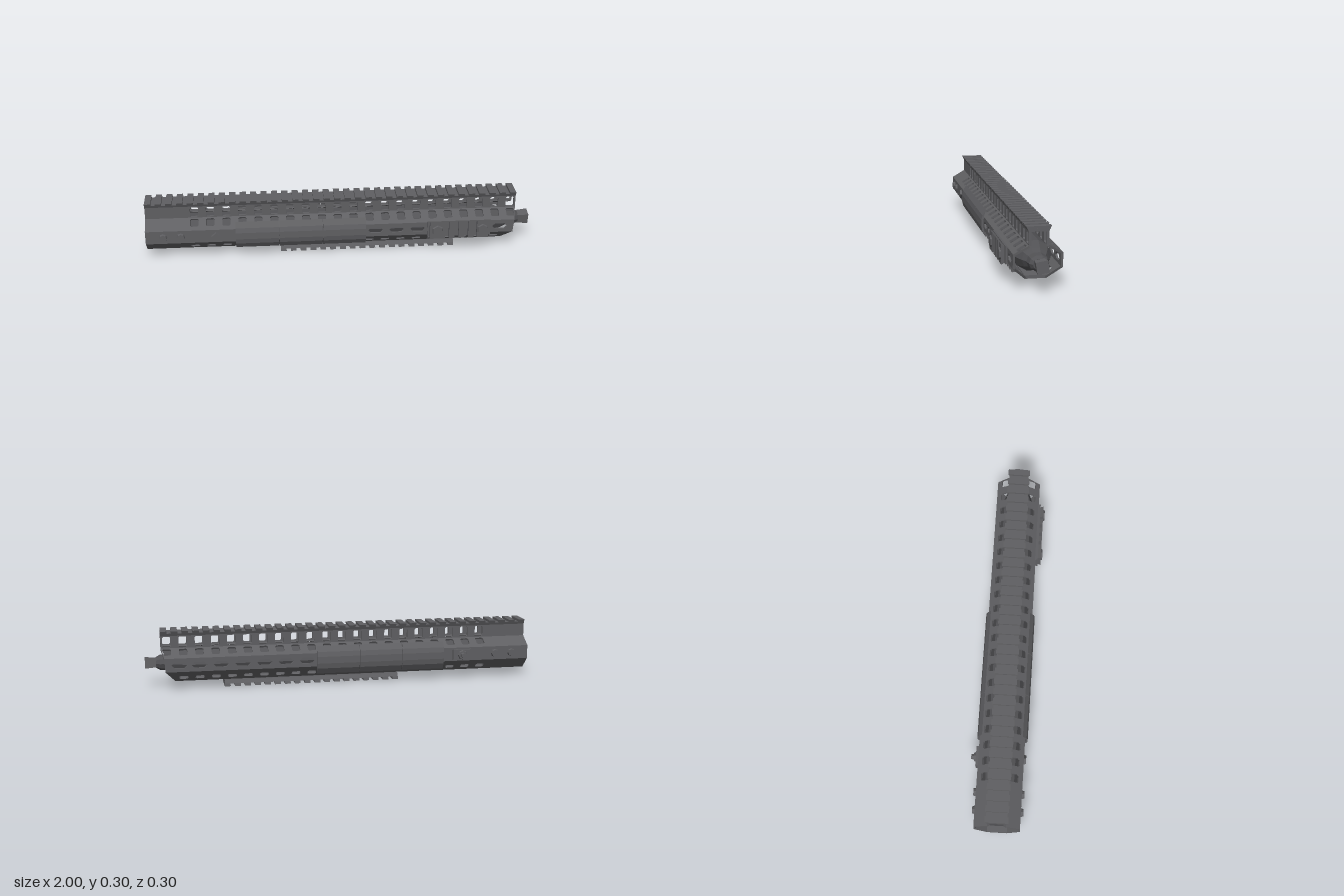
import * as THREE from 'three';

const gunmetal = new THREE.MeshStandardMaterial({ color: 0x5f5f62 });
gunmetal.name = 'gunmetal grey';
const darkSteel = new THREE.MeshStandardMaterial({ color: 0x525255 });
darkSteel.name = 'dark steel';

export function createModel() {
  const model = new THREE.Group();

  // Adds a faceted mesh
  function add(name, geometry, material = gunmetal) {
    const g = geometry.index ? geometry.toNonIndexed() : geometry;
    g.computeVertexNormals();
    const mesh = new THREE.Mesh(g, material);
    mesh.name = name;
    model.add(mesh);
    return mesh;
  }

  const box = (name, x0, x1, y0, y1, z0, z1) => add(name,
    new THREE.BoxGeometry(x1 - x0, y1 - y0, z1 - z0)
      .translate((x0 + x1) / 2, (y0 + y1) / 2, (z0 + z1) / 2));

  // Extrudes a [z, y] outline along x
  function bar(name, outline, x0, x1) {
    const shape = new THREE.Shape(outline.map(([z, y]) => new THREE.Vector2(-z, y)));
    const g = new THREE.ExtrudeGeometry(shape, { depth: x1 - x0, bevelEnabled: false });
    return add(name, g.rotateY(Math.PI / 2).translate(x0, 0, 0));
  }

  // Wall panel between two [z, y, endX] corners; holes are [x, width, s0, s1, chamfer], s from 0 to 1
  function panel(name, p0, p1, holes = [], t = 0.01) {
    const s = new THREE.Vector3(0, p1[1] - p0[1], p1[0] - p0[0]);
    const L = s.length();
    s.normalize();
    const X = new THREE.Vector3(1, 0, 0);
    const n = X.clone().cross(s);
    const V = (x, y) => new THREE.Vector2(x, y);
    const shape = new THREE.Shape([V(-1, 0), V(p0[2], 0), V(p1[2], L), V(-1, L)]);
    for (const [x, w, s0, s1, c = 0.006] of holes) {
      const a = x - w / 2, b = x + w / 2, lo = s0 * L, hi = s1 * L;
      shape.holes.push(new THREE.Path([
        V(a + c, lo), V(a, lo + c), V(a, hi - c), V(a + c, hi),
        V(b - c, hi), V(b, hi - c), V(b, lo + c), V(b - c, lo)]));
    }
    const g = new THREE.ExtrudeGeometry(shape, { depth: t, bevelEnabled: false }).translate(0, 0, -t);
    g.applyMatrix4(new THREE.Matrix4().makeBasis(X, s, n).setPosition(0, p0[1], p0[0]));
    return add(name, g);
  }

  // Same panel on both sides
  function panelPair(name, p0, p1, holes, t) {
    const flip = ([z, y, x]) => [-z, y, x];
    panel(name + 'Left', p0, p1, holes, t);
    panel(name + 'Right', flip(p1), flip(p0),
      holes.map(([x, w, a, b, c]) => [x, w, 1 - b, 1 - a, c]), t);
  }

  // Screw head pointing along z
  function screw(name, x, y, z0, z1, r, sides = 6) {
    const g = new THREE.CylinderGeometry(r * 0.85, r, Math.abs(z1 - z0), sides);
    g.rotateX(z1 > z0 ? Math.PI / 2 : -Math.PI / 2);
    add(name, g.translate(x, y, (z0 + z1) / 2));
  }

  // Handguard shell
  const A = [0.05, 0.037, 0.85], B = [0.115, 0.098, 0.9], C = [0.115, 0.168, 0.905];
  const D = [0.046, 0.208, 0.92], E = [0.046, 0.274, 0.92];
  const vents = Array.from({ length: 21 }, (_, i) => -0.75 + i * 0.082);
  const lowVents = vents.filter(x => x < -0.55 || (x > 0.14 && x < 0.83));
  const sideSlots = [0.18, 0.29, 0.4, 0.51, 0.62, 0.73, 0.83];
  panel('shellBottom', [-A[0], A[1], A[2]], A, [], 0.016);
  panelPair('lowerSlope', A, B, lowVents.map(x => [x, 0.045, 0.22, 0.55]));
  panelPair('sideWall', B, C, sideSlots.map(x => [x, 0.078, 0.27, 0.7, 0.014]));
  panelPair('upperSlope', C, D, vents.map(x => [x, 0.042, 0.3, 0.9]));
  panelPair('riser', D, E, vents.map(x => [x, 0.042, 0.06, 0.88, 0.005]), 0.012);

  // Top rail with cross teeth
  bar('topRailBase', [[-0.046, 0.271], [0.046, 0.271], [0.052, 0.284], [-0.052, 0.284]], -1, 0.92);
  const pitch = 1.92 / 35.6;
  for (let i = 0; i < 36; i++) {
    const x = -1 + i * pitch;
    bar('topRailTooth', [[-0.052, 0.283], [0.052, 0.283], [0.058, 0.296], [-0.058, 0.296]],
      x, Math.min(x + 0.032, 0.92));
  }

  // Bottom rail with teeth and mounts
  bar('bottomRailBase', [[-0.056, 0.013], [0.056, 0.013], [0.048, 0.03], [-0.048, 0.03]], -0.31, 0.6);
  for (let i = 0; i < 18; i++) {
    const x = -0.31 + i * 0.0518;
    bar('bottomRailTooth', [[-0.06, 0], [0.06, 0], [0.056, 0.014], [-0.056, 0.014]], x, x + 0.03);
  }
  for (const x of [-0.2, -0.08, 0.15, 0.4]) box('bottomRailMount', x - 0.05, x + 0.05, 0.028, 0.04, -0.027, 0.027);

  // Curved grip covers, three on each side
  const cover = [[0.103, 0.058], [0.122, 0.088], [0.128, 0.115], [0.128, 0.15], [0.122, 0.175], [0.103, 0.203],
    [0.114, 0.17], [0.116, 0.15], [0.116, 0.115], [0.114, 0.092]];
  for (const side of [1, -1]) {
    const outline = cover.map(([z, y]) => [z * side, y]);
    for (let i = 0; i < 3; i++) {
      const x = -0.54 + i * 0.2245;
      bar('gripCover', outline, x, x + 0.221);
    }
    // Clamp screws at the rear
    for (const x of [-0.91, -0.82]) screw('clampScrew', x, 0.133, 0.112 * side, 0.128 * side, 0.022, 8);
  }
  screw('diamondScrew', -0.64, 0.133, 0.112, 0.126, 0.026, 4);

  // Short accessory rail on the left side
  bar('sideRailBase', [[0.112, 0.095], [0.126, 0.09], [0.126, 0.175], [0.112, 0.17]], 0.45, 0.78);
  for (const [x, w] of [[0.5, 0.08], [0.575, 0.03], [0.625, 0.03], [0.675, 0.03], [0.735, 0.06]]) {
    bar('sideRailTooth', [[0.125, 0.095], [0.142, 0.085], [0.142, 0.18], [0.125, 0.17]], x - w / 2, x + w / 2);
  }
  for (const x of [0.5, 0.735]) screw('sideRailScrew', x, 0.132, 0.138, 0.15, 0.032);

  // Sling socket on the right side
  box('slingBase', -0.69, -0.59, 0.105, 0.16, -0.128, -0.112);
  screw('slingCollar', -0.64, 0.132, -0.126, -0.138, 0.026, 8);
  screw('slingButton', -0.64, 0.132, -0.136, -0.152, 0.015, 6);

  // Inner tube with stepped nose
  const profile = [[0, -0.97], [0.074, -0.97], [0.077, -0.9], [0.077, 0.78], [0.056, 0.85],
    [0.043, 0.88], [0.04, 0.925], [0.028, 0.945], [0, 0.945]];
  const tube = new THREE.LatheGeometry(profile.map(([r, x]) => new THREE.Vector2(r, x)), 10);
  add('innerTube', tube.rotateZ(-Math.PI / 2).scale(1, 0.96, 1.16).translate(0, 0.127, 0), darkSteel);
  const tip = new THREE.CylinderGeometry(0.04, 0.032, 0.07, 4);
  add('muzzleTip', tip.rotateY(0.95).rotateZ(-Math.PI / 2).translate(0.965, 0.127, 0));

  return model;
}
